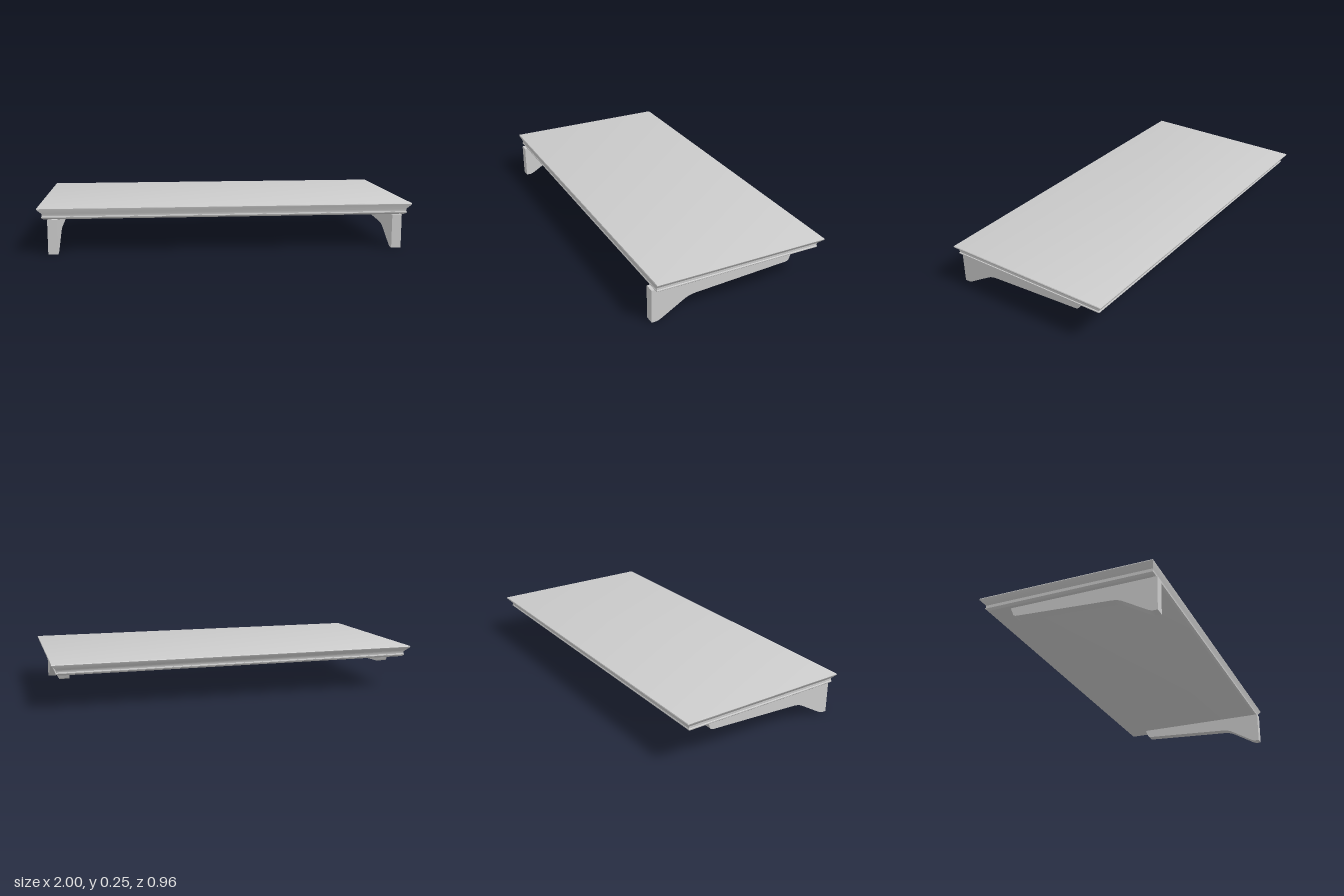
import * as THREE from 'three';
import { toCreasedNormals } from 'three/addons/utils/BufferGeometryUtils.js';

const material = new THREE.MeshStandardMaterial({ color: 0xcccccc });

// Moulding section, bottom to top: [y, half width, front z, back z]
const levels = [
  [0.182, 0.965, 0.454, -0.442],
  [0.188, 0.973, 0.463, -0.448],
  [0.192, 0.977, 0.468, -0.453],
  [0.197, 0.977, 0.468, -0.453],
  [0.199, 0.973, 0.466, -0.451],
  [0.211, 0.973, 0.467, -0.452],
  [0.216, 0.977, 0.469, -0.456],
  [0.236, 0.998, 0.478, -0.476],
  [0.241, 1.0, 0.479, -0.478],
  [0.245, 0.998, 0.477, -0.476],
  [0.246, 0.995, 0.474, -0.473],
];

// Loft mitred rectangles through the moulding levels and cap both ends
function mouldedSlab() {
  const positions = [];
  const rings = levels.map(([y, w, f, b]) => [[-w, y, f], [w, y, f], [w, y, b], [-w, y, b]]);
  const quad = (a, b, c, d) => positions.push(...a, ...b, ...c, ...a, ...c, ...d);
  for (let i = 0; i < rings.length - 1; i++) {
    for (let k = 0; k < 4; k++) {
      const n = (k + 1) % 4;
      quad(rings[i][k], rings[i][n], rings[i + 1][n], rings[i + 1][k]);
    }
  }
  quad(...rings[rings.length - 1]);
  quad(...[...rings[0]].reverse());
  const geometry = new THREE.BufferGeometry();
  geometry.setAttribute('position', new THREE.Float32BufferAttribute(positions, 3));
  return toCreasedNormals(geometry, 0.6);
}

// Side outline of a bracket in (z, y), extruded across its thickness
function bracketGeometry(thickness) {
  const shape = new THREE.Shape();
  shape.moveTo(0.479, 0.183);
  shape.lineTo(-0.32, 0.183);
  shape.lineTo(-0.303, 0.141);
  shape.quadraticCurveTo(-0.299, 0.132, -0.28, 0.131);
  shape.lineTo(0.235, 0.102);
  shape.quadraticCurveTo(0.273, 0.1, 0.3, 0.085);
  shape.lineTo(0.42, 0.014);
  shape.quadraticCurveTo(0.442, 0.001, 0.455, 0);
  shape.lineTo(0.479, 0);
  shape.closePath();
  const geometry = new THREE.ExtrudeGeometry(shape, { depth: thickness, bevelEnabled: false, curveSegments: 6 });
  geometry.translate(0, 0, -thickness / 2);
  geometry.rotateY(-Math.PI / 2);
  return toCreasedNormals(geometry, 0.5);
}

export function createModel() {
  const model = new THREE.Group();
  model.name = 'wallShelf';

  const board = new THREE.Mesh(mouldedSlab(), material);
  board.name = 'shelfBoard';
  model.add(board);

  // One bracket near each end
  const bracket = bracketGeometry(0.052);
  for (const side of [-1, 1]) {
    const mesh = new THREE.Mesh(bracket, material);
    mesh.name = side > 0 ? 'leftBracket' : 'rightBracket';
    mesh.position.x = side * 0.919;
    model.add(mesh);
  }
  return model;
}
